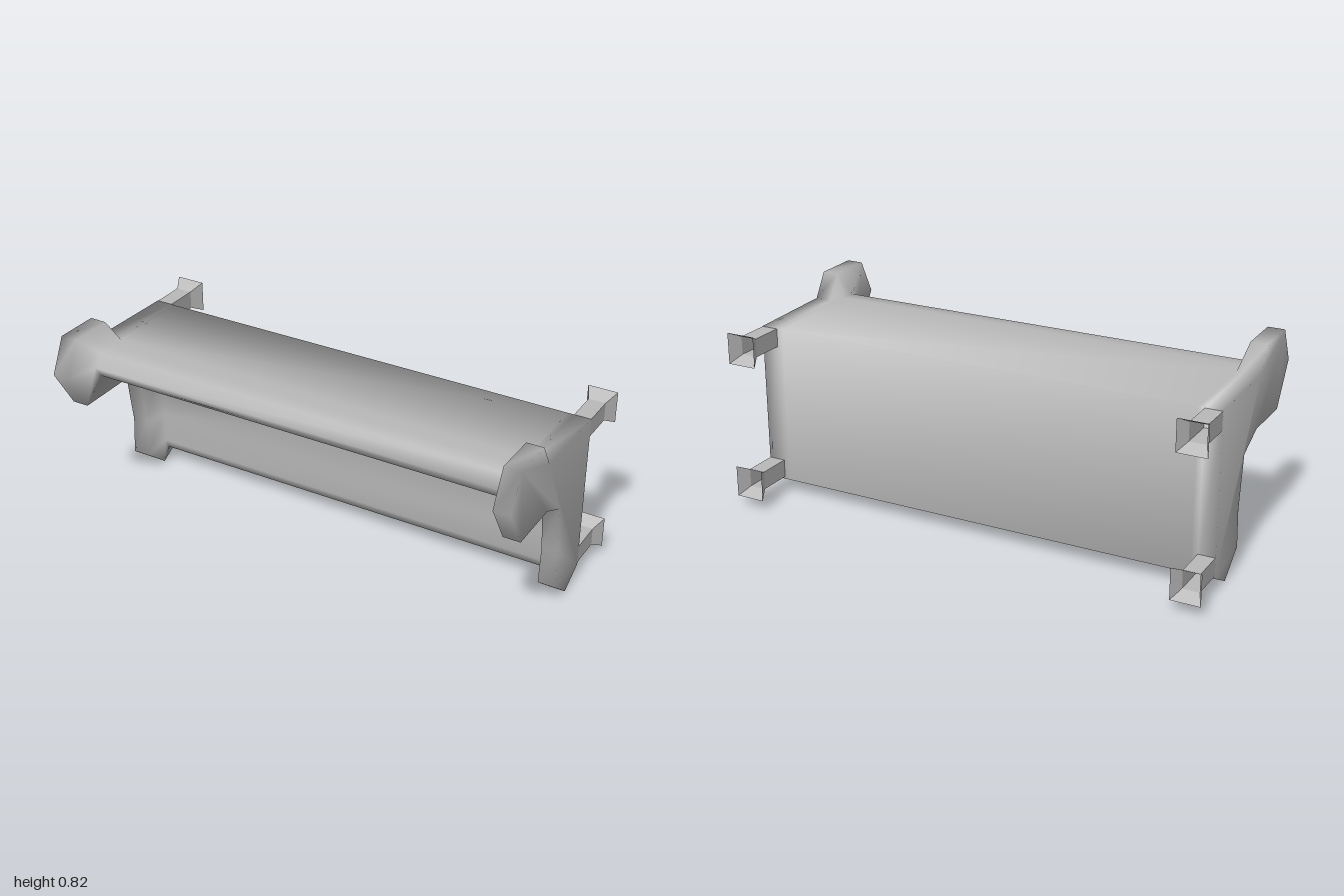
import * as THREE from 'three';

const grey = new THREE.MeshStandardMaterial({ color: 0xb9b9b9, side: THREE.DoubleSide });
grey.name = 'grey';

function smoothGeometry(points, index) {
  const g = new THREE.BufferGeometry();
  g.setAttribute('position', new THREE.Float32BufferAttribute(points.flat(), 3));
  g.setIndex(index);
  g.computeVertexNormals();
  return g;
}

function addMesh(parent, name, geometry) {
  const m = new THREE.Mesh(geometry, grey);
  m.name = name;
  parent.add(m);
  return m;
}

// Skin closed loops of equal length, without end faces
function skin(loops) {
  const n = loops[0].length, index = [];
  for (let k = 0; k < loops.length - 1; k++) {
    for (let i = 0; i < n; i++) {
      const j = (i + 1) % n, a = k * n, b = a + n;
      index.push(a + i, a + j, b + i, a + j, b + j, b + i);
    }
  }
  return index;
}

// Solid L-shaped shelf that swells into a wide bracket at each end
function bodyGeometry() {
  // [z, y] outline of the end brackets
  const rim = [[0.375, 0.82], [0.19, 0.818], [0.13, 0.72], [-0.25, 0.71], [-0.25, 0.06], [-0.14, 0],
    [-0.025, 0.09], [-0.035, 0.245], [-0.005, 0.455], [0.115, 0.512], [0.34, 0.512], [0.443, 0.68]];
  // [z, y] section of the shelf between them, point for point
  const core = [[0.26, 0.716], [0.19, 0.72], [0.13, 0.72], [-0.25, 0.71], [-0.25, 0.06], [-0.145, 0.078],
    [-0.125, 0.12], [-0.125, 0.25], [-0.105, 0.54], [0.06, 0.622], [0.27, 0.622], [0.302, 0.67]];
  const at = (loop, x) => loop.map(([z, y]) => [x, y, z]);
  const loops = [at(rim, 0.975), at(rim, 0.907), at(core, 0.882),
    at(core, -0.882), at(rim, -0.907), at(rim, -0.975)];
  const index = skin(loops), last = 5 * rim.length;
  // Outer faces of the brackets
  for (const [a, b, c] of THREE.ShapeUtils.triangulateShape(rim.map((p) => new THREE.Vector2(...p)), [])) {
    index.push(a, c, b, last + a, last + b, last + c);
  }
  return smoothGeometry(loops.flat(), index);
}

// Square wall peg, open at a flared end
function pegGeometry() {
  const square = (w, h, z) => [[w, h, z], [-w, h, z], [-w, -h, z], [w, -h, z]];
  const loops = [square(0.034, 0.037, -0.25), square(0.034, 0.037, -0.39), square(0.06, 0.064, -0.443)];
  const g = smoothGeometry(loops.flat(), skin(loops)).toNonIndexed();
  g.computeVertexNormals();
  return g;
}

export function createModel() {
  const model = new THREE.Group();
  model.name = 'wallShelf';
  addMesh(model, 'shelfBody', bodyGeometry());

  const peg = pegGeometry();
  for (const [side, s] of [['left', 1], ['right', -1]]) {
    for (const [level, y] of [['Upper', 0.672], ['Lower', 0.106]]) {
      addMesh(model, side + level + 'Peg', peg).position.set(s * 0.94, y, 0);
    }
  }
  return model;
}
